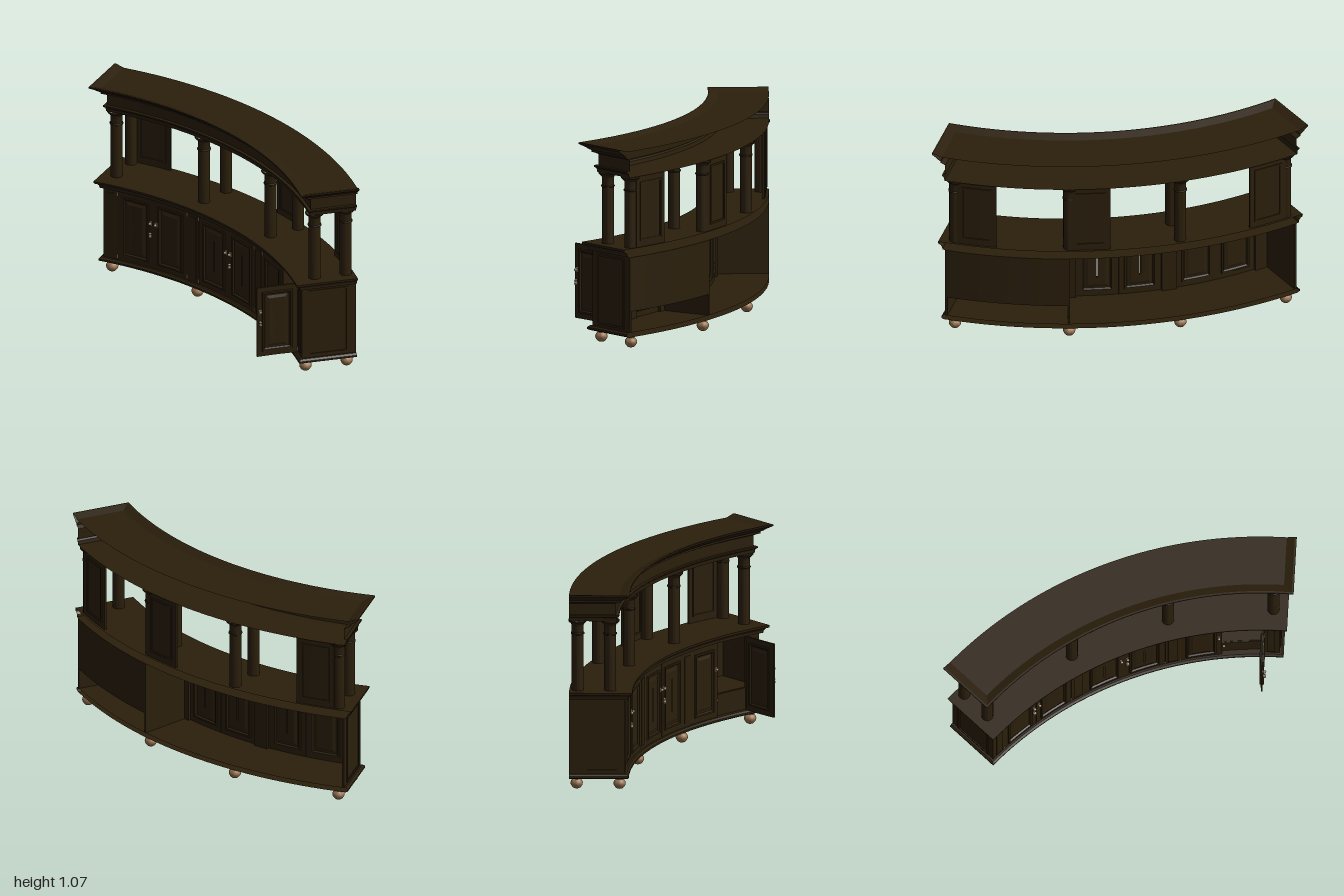
import * as THREE from 'three';
import { toCreasedNormals } from 'three/addons/utils/BufferGeometryUtils.js';

const C = 1.915;          // z of the centre of the curved plan
const BACK = 2.234;       // radius of the open back
const END = 24.6;         // half angle of the plan, in degrees
const rad = THREE.MathUtils.degToRad;
const deg = THREE.MathUtils.radToDeg;
const P = (r, a, y) => new THREE.Vector3(r * Math.sin(a), y, C - r * Math.cos(a));

function material(name, color) {
  const m = new THREE.MeshStandardMaterial({ color, side: THREE.DoubleSide });
  m.name = name;
  return m;
}

function add(parent, name, geo, mat, pos) {
  const m = new THREE.Mesh(geo, mat);
  m.name = name;
  if (pos) m.position.copy(pos);
  parent.add(m);
}

// Block bent along the plan: radii, angles in degrees, heights
function arcBox(r1, r2, a1, a2, y1, y2) {
  const g = new THREE.BoxGeometry(1, 1, 1, Math.max(1, Math.ceil(Math.abs(a2 - a1) / 1.6)), 1, 1);
  const p = g.attributes.position;
  for (let i = 0; i < p.count; i++) {
    const v = P(
      THREE.MathUtils.lerp(r2, r1, p.getZ(i) + 0.5),
      rad(THREE.MathUtils.lerp(a1, a2, p.getX(i) + 0.5)),
      THREE.MathUtils.lerp(y1, y2, p.getY(i) + 0.5));
    p.setXYZ(i, v.x, v.y, v.z);
  }
  g.computeVertexNormals();
  return g;
}

function quads(rows) {
  const pos = [];
  for (let j = 0; j + 1 < rows.length; j++) {
    for (let i = 0; i + 1 < rows[j].length; i++) {
      const a = rows[j][i], b = rows[j][i + 1], c = rows[j + 1][i + 1], d = rows[j + 1][i];
      for (const v of [a, b, c, a, c, d]) pos.push(v.x, v.y, v.z);
    }
  }
  const g = new THREE.BufferGeometry();
  g.setAttribute('position', new THREE.Float32BufferAttribute(pos, 3));
  return toCreasedNormals(g, 0.3);
}

// Arc at radius r, moved outward past the end planes by o
function arc(r, o, y) {
  const half = rad(END) + Math.asin(o / r), n = 40;
  return Array.from({ length: n + 1 }, (_, i) => P(r, half * (2 * i / n - 1), y));
}

// Moulding run along one end, the front and the other end; profile is [out, y] from the bottom up
function moulding(r0, profile) {
  return quads(profile.map(([o, y]) => {
    const back = arc(BACK, o, y);
    return [back[0], ...arc(r0 - o, o, y), back[back.length - 1]];
  }));
}

// Flat curved board at height y
const board = (r0, o, y) => quads([arc(r0 - o, o, y), arc(BACK, o, y)]);

// Panelled face of nested rectangles; profile is [inset, radius] from the edge to the field
function relief(a1, a2, y1, y2, profile) {
  const rows = profile.map(([d, r]) => {
    const lo = rad(a1) + d / r, hi = rad(a2) - d / r, ring = [], n = 5;
    for (let i = 0; i <= n; i++) ring.push(P(r, lo + (hi - lo) * i / n, y1 + d));
    for (let i = n; i >= 0; i--) ring.push(P(r, lo + (hi - lo) * i / n, y2 - d));
    return [...ring, ring[0]];
  });
  return quads(rows);
}

const lathe = (pts, n = 24) =>
  toCreasedNormals(new THREE.LatheGeometry(pts.map(([x, y]) => new THREE.Vector2(x, y)), n), 0.6);

// Four bars around a rectangle on the curved face
function frame(parent, name, mat, r1, r2, a1, a2, y1, y2, w) {
  const wa = deg(w / r1);
  add(parent, name, arcBox(r1, r2, a1, a2, y1, y1 + w), mat);
  add(parent, name, arcBox(r1, r2, a1, a2, y2 - w, y2), mat);
  add(parent, name, arcBox(r1, r2, a1, a1 + wa, y1 + w, y2 - w), mat);
  add(parent, name, arcBox(r1, r2, a2 - wa, a2, y1 + w, y2 - w), mat);
}

export function createModel() {
  const model = new THREE.Group();
  model.name = 'curvedCabinet';
  const wood = material('darkWood', 0x2b1f0c);
  const feetWood = material('lightWood', 0x967350);
  const metal = material('agedMetal', 0xa08a70);

  // Plinth, counter and cornice, open at the back
  const BODY = 1.941, TOP = 1.988;
  add(model, 'plinth', moulding(BODY, [[0.008, 0.06], [0.02, 0.066], [0.02, 0.076], [0.01, 0.085], [0, 0.085]]), wood);
  add(model, 'plinthBottom', board(BODY, 0.008, 0.06), wood);
  add(model, 'cabinetFloor', board(BODY, 0, 0.085), wood);
  add(model, 'counterEdge', moulding(BODY, [[0, 0.485], [0.015, 0.488], [0.017, 0.502], [0.026, 0.513], [0.037, 0.517], [0.039, 0.53]]), wood);
  add(model, 'counterUnderside', board(BODY, 0, 0.485), wood);
  add(model, 'counterTop', board(BODY, 0.039, 0.53), wood);
  add(model, 'cornice', moulding(TOP, [
    [0.004, 0.91], [0.007, 0.93], [0.017, 0.937], [0.017, 0.945], [0, 0.945], [0, 1.005],
    [0.012, 1.011], [0.026, 1.016], [0.026, 1.026], [0.036, 1.031], [0.05, 1.043], [0.073, 1.057],
    [0.073, 1.065], [0.063, 1.065], [0.02, 1.05]]), wood);
  add(model, 'corniceSoffit', board(TOP, 0.004, 0.91), wood);
  add(model, 'corniceTop', board(TOP, 0.02, 1.05), wood);

  for (const s of [-1, 1]) {
    // End panel with a raised border
    const side = (name, r1, r2, a1, a2, y1, y2) =>
      add(model, name, arcBox(r1, r2, Math.min(s * a1, s * a2), Math.max(s * a1, s * a2), y1, y2), wood);
    side('endPanel', BODY, BACK, 24.3, END, 0.085, 0.485);
    for (const [r1, r2, y1, y2] of [
      [1.975, 2.192, 0.098, 0.109], [1.975, 2.192, 0.463, 0.474],
      [1.975, 1.986, 0.109, 0.463], [2.181, 2.192, 0.109, 0.463]]) {
      side('endPanelBorder', r1, r2, END, END + 0.15, y1, y2);
    }
    // Pilasters on the front
    for (const [a1, a2] of [[6.7, 9.1], [22.2, 24.3]]) {
      side('pilaster', BODY, 1.965, a1, a2, 0.085, 0.485);
      side('pilasterField', BODY - 0.004, BODY, a1 + 0.45, a2 - 0.45, 0.105, 0.465);
    }
  }

  // Columns and bun feet in front and back pairs
  const column = lathe([[0.0315, 0.53], [0.0315, 0.83], [0.036, 0.833], [0.036, 0.839], [0.0315, 0.842],
    [0.0315, 0.882], [0.036, 0.889], [0.045, 0.897], [0.049, 0.902], [0.049, 0.91]], 28);
  const foot = lathe([[0, 0], [0.014, 0], [0.019, 0.003], [0.026, 0.011], [0.031, 0.02], [0.0325, 0.028],
    [0.031, 0.036], [0.026, 0.044], [0.019, 0.05], [0.019, 0.06]]);
  for (const s of [-1, 1]) {
    for (const a of [7.7, 23.5]) {
      for (const r of [2.02, 2.19]) add(model, 'column', column, wood, P(r, rad(s * a), 0));
      for (const r of [1.97, 2.195]) add(model, 'foot', foot, feetWood, P(r, rad(s * a), 0));
    }
  }

  // Upright panels between the back columns
  for (const [a1, a2] of [[2.1, 7.6], [17.6, 23.1], [-23.1, -17.6]]) {
    add(model, 'backPanel', arcBox(2.208, 2.22, a1, a2, 0.53, 0.91), wood);
    frame(model, 'backPanelBorder', wood, 2.22, 2.225, a1 + 0.7, a2 - 0.7, 0.562, 0.878, 0.01);
    frame(model, 'backPanelBorder', wood, 2.203, 2.208, a1 + 0.7, a2 - 0.7, 0.562, 0.878, 0.01);
  }

  const knob = new THREE.SphereGeometry(0.008, 14, 10);
  const drop = lathe([[0, -0.022], [0.006, -0.019], [0.009, -0.011], [0.006, 0], [0.009, 0.006], [0, 0.013]], 14);
  const hinge = new THREE.CylinderGeometry(0.003, 0.003, 0.02, 10);
  const M = 15.65;

  // Compartment behind the open door, with a low front below the shelf
  add(model, 'divider', arcBox(1.955, BACK, 7.6, 7.9, 0.085, 0.485), wood);
  add(model, 'shelf', arcBox(1.965, BACK, 7.9, 24.3, 0.197, 0.203), wood);
  add(model, 'compartmentBack', arcBox(BACK - 0.008, BACK, 7.9, 24.3, 0.203, 0.485), wood);
  add(model, 'lowerFront', arcBox(1.958, 1.966, M - 0.3, 22.3, 0.085, 0.2), wood);
  add(model, 'lowerFrontKnob', knob, metal, P(1.953, rad(15.95), 0.17));

  // Doors: panelled on both faces, with handle and hinges; MID is the middle of the thickness
  const MID = 1.946;
  const profile = [[0, 0], [0, 0.005], [0.028, 0.005], [0.03, 0.011], [0.039, 0.011], [0.045, 0.002],
    [0.053, 0.002], [0.067, 0.007], [0.11, 0.007]];
  function door(a1, a2, hingeAngle, hasDrop) {
    const g = new THREE.Group();
    g.name = 'door';
    const lo = a1 + 0.02, hi = a2 - 0.02;
    for (const s of [-1, 1]) {
      add(g, 'doorFace', relief(lo, hi, 0.086, 0.484, profile.map(([d, h]) => [d, MID + s * h])), wood);
    }
    const atLow = hingeAngle === a1;
    const handle = atLow ? a2 - 0.5 : a1 + 0.5;
    add(g, 'doorKnob', knob, metal, P(MID - 0.016, rad(handle), 0.345));
    add(g, 'knobPlate', arcBox(MID - 0.009, MID - 0.004, handle - 0.2, handle + 0.2, 0.333, 0.357), metal);
    if (hasDrop) add(g, 'dropHandle', drop, metal, P(MID - 0.014, rad(handle), 0.283));
    for (const y of [0.105, 0.465]) add(g, 'hinge', hinge, metal, P(MID - 0.006, rad(atLow ? lo : hi), y));
    return g;
  }
  model.add(door(-22.2, -M, -22.2, true), door(-M, -9.1, -9.1, false));
  model.add(door(-6.7, 0, -6.7, false), door(0, 6.7, 6.7, true));
  model.add(door(9.1, M, 9.1, false));

  // Last door swung open on its hinge
  const pivot = new THREE.Group();
  pivot.name = 'openDoor';
  const hingePoint = P(BODY, rad(22.2), 0);
  const open = door(M, 22.2, 22.2, true);
  open.position.copy(hingePoint).negate();
  pivot.position.copy(hingePoint);
  pivot.rotation.y = rad(85);
  pivot.add(open);
  model.add(pivot);

  return model;
}
